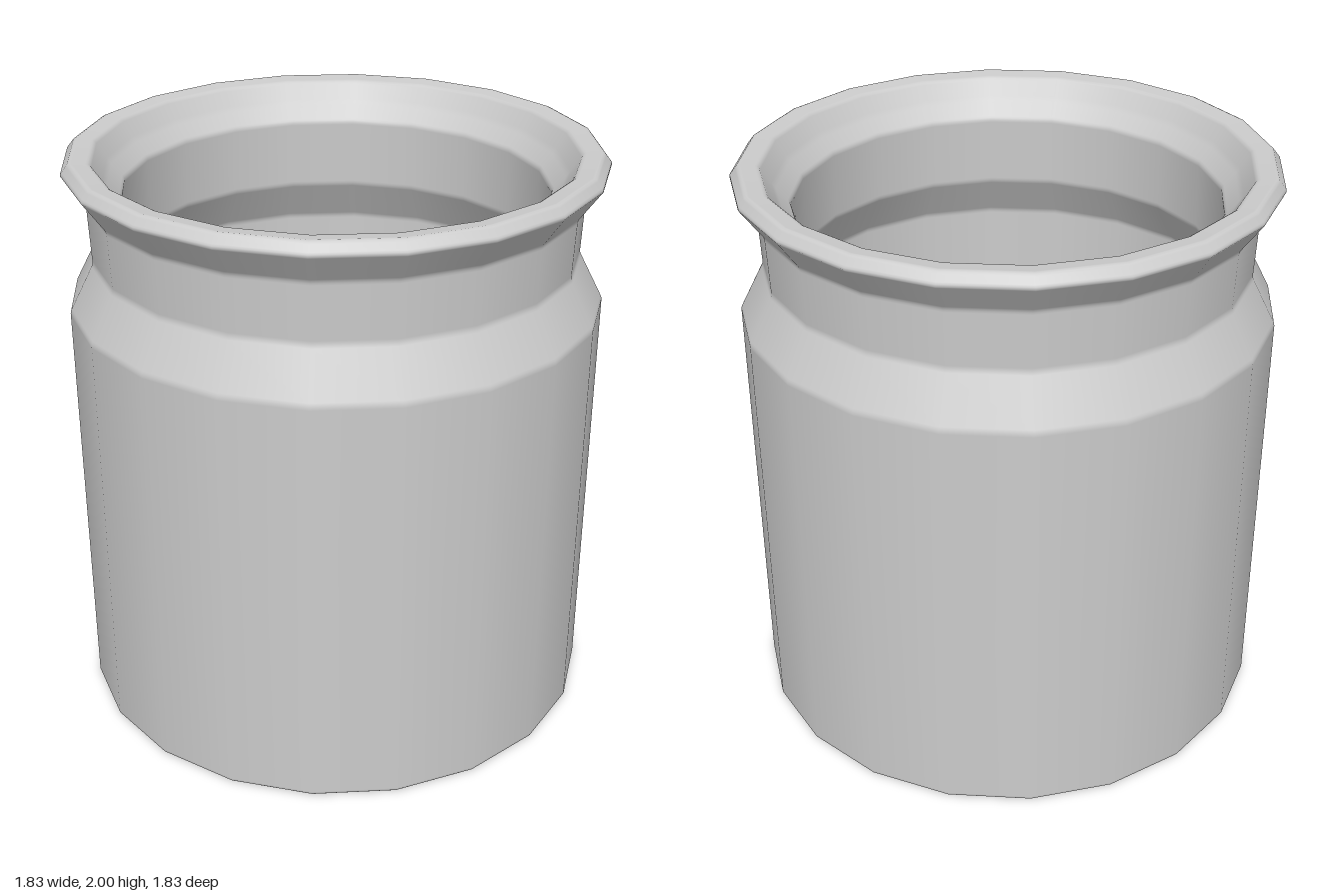
import * as THREE from 'three';

const SIDES = 20;
const TURN = THREE.MathUtils.degToRad(4.8); // slight twist of the facets

// Replaces each inner corner of a profile by a tight bevel, so the bands stay flat under smooth normals
function bevel(points, size = 0.012) {
  const out = [points[0]];
  for (let i = 1; i < points.length - 1; i++) {
    const p = points[i];
    const before = points[i - 1].clone().sub(p).clampLength(0, size);
    const after = points[i + 1].clone().sub(p).clampLength(0, size);
    out.push(
      p.clone().add(before), p.clone().addScaledVector(before, 0.4),
      p.clone().addScaledVector(after, 0.4), p.clone().add(after),
    );
  }
  out.push(points[points.length - 1]);
  return out;
}

export function createModel() {
  const group = new THREE.Group();
  group.name = 'jar';
  const material = new THREE.MeshStandardMaterial({ color: 0xcccccc, side: THREE.DoubleSide });

  const profile = [
    // base, straight wall, sloped shoulder, neck
    [0, 0], [0.918, 0], [0.918, 1.48], [0.832, 1.645], [0.84, 1.85],
    // flared rim, rolled over the top and stepping down to the mouth
    [0.918, 1.96], [0.888, 1.998], [0.82, 1.99], [0.775, 1.92], [0.724, 1.86],
    // inside of the neck and shoulder, inner wall
    [0.73, 1.612], [0.818, 1.455], [0.818, 0.05],
    // floor with a shallow dimple in the middle
    [0.1, 0.05], [0, 0.04],
  ].map(([r, y]) => new THREE.Vector2(r, y));

  const shell = new THREE.Mesh(new THREE.LatheGeometry(bevel(profile), SIDES, TURN), material);
  shell.name = 'jarShell';
  group.add(shell);
  return group;
}
